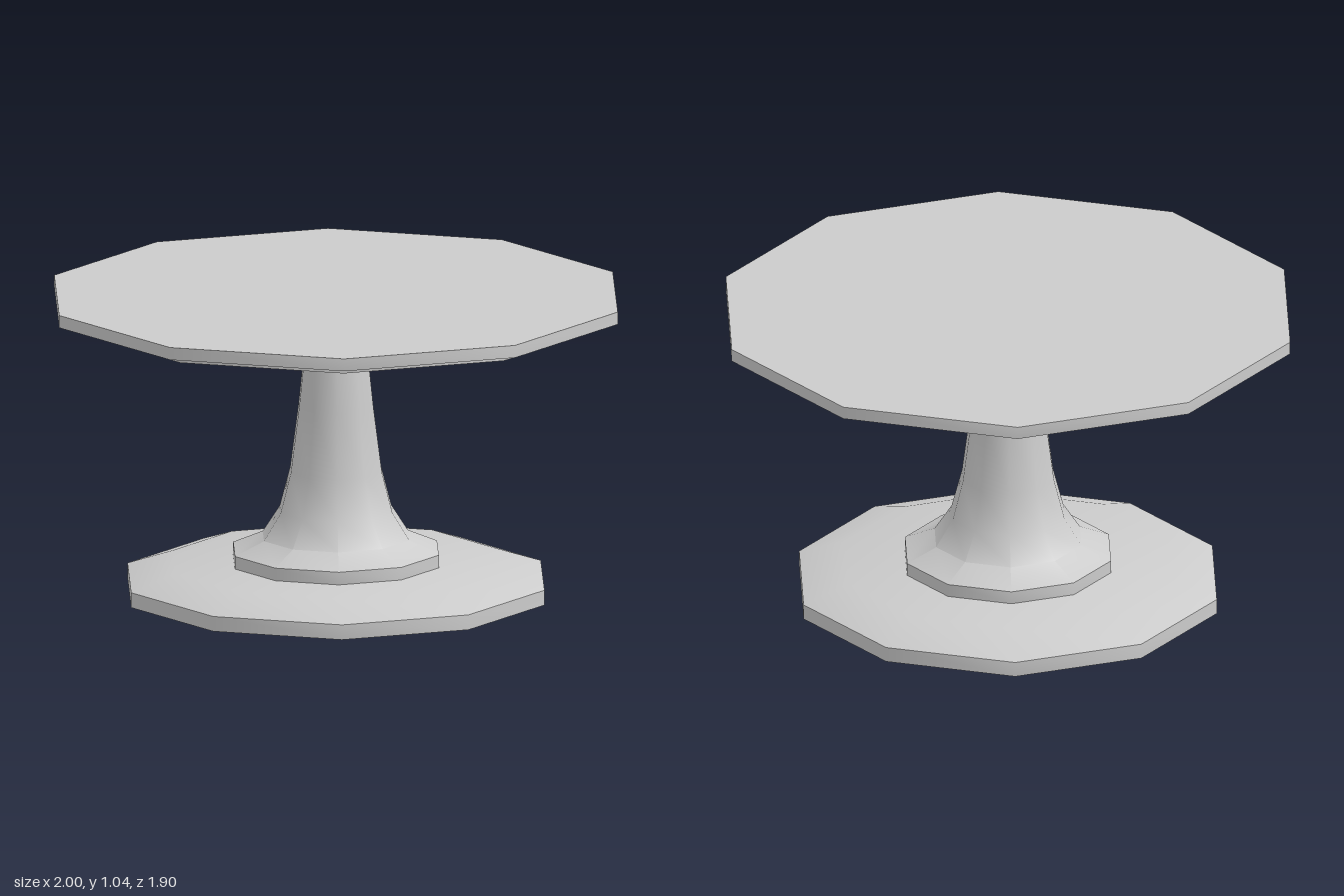
import * as THREE from 'three';
import { toCreasedNormals } from 'three/addons/utils/BufferGeometryUtils.js';

const SIDES = 10;

export function createModel() {
  const group = new THREE.Group();
  const material = new THREE.MeshStandardMaterial({ color: 0xcccccc });

  // Turn a [radius, height] profile, listed bottom to top, into a ten-sided part with a corner at +x
  const turned = (name, profile) => {
    const points = profile.map(([r, y]) => new THREE.Vector2(r, y));
    const lathe = new THREE.LatheGeometry(points, SIDES, Math.PI / 2);
    const mesh = new THREE.Mesh(toCreasedNormals(lathe, 0.7), material);
    mesh.name = name;
    group.add(mesh);
  };

  // Foot plate with a sloped rim
  turned('base', [[0, 0], [0.74, 0], [0.74, 0.052], [0.58, 0.106], [0, 0.106]]);

  // Flared column standing on a short collar
  turned('pedestal', [
    [0.365, 0.106], [0.365, 0.15], [0.26, 0.195], [0.2, 0.287],
    [0.163, 0.425], [0.133, 0.65], [0.098, 0.975],
  ]);

  // Thin plate under the top
  turned('underPlate', [[0, 0.975], [0.938, 0.975], [0.938, 0.997]]);

  // Table top
  turned('tableTop', [[0, 0.997], [1, 0.997], [1, 1.04], [0, 1.04]]);

  return group;
}
